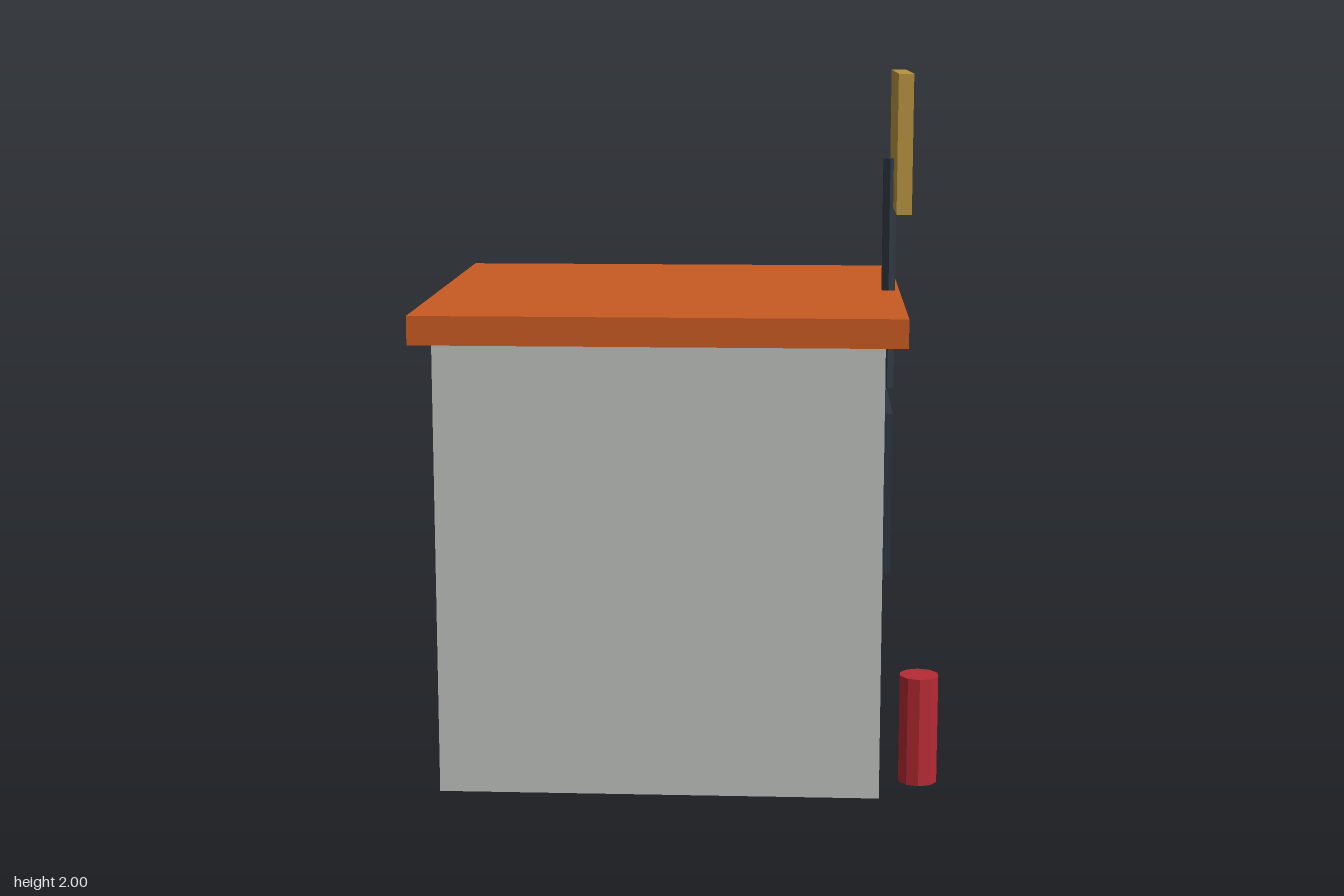
import * as THREE from 'three';

const mat = (name, color) => {
  const m = new THREE.MeshStandardMaterial({ color });
  m.name = name;
  return m;
};

export function createModel() {
  const group = new THREE.Group();
  group.name = 'kiosk';

  const wallGrey = mat('wall grey', 0xbdbfbc);
  const roofOrange = mat('roof orange', 0xc85a22);
  const darkSlate = mat('dark slate', 0x2c3540);
  const signGold = mat('sign gold', 0xb8943f);
  const red = mat('red', 0xb72a35);

  const add = (name, geometry, material, x, y, z) => {
    const mesh = new THREE.Mesh(geometry, material);
    mesh.name = name;
    mesh.position.set(x, y, z);
    group.add(mesh);
  };

  // Box given by its min and max extents
  const box = (name, material, [x0, x1], [y0, y1], [z0, z1]) =>
    add(name, new THREE.BoxGeometry(x1 - x0, y1 - y0, z1 - z0), material,
      (x0 + x1) / 2, (y0 + y1) / 2, (z0 + z1) / 2);

  // Faceted upright cylinder
  const prism = (name, material, r, sides, [y0, y1], x, z) =>
    add(name, new THREE.CylinderGeometry(r, r, y1 - y0, sides).toNonIndexed(), material,
      x, (y0 + y1) / 2, z);

  // Booth and overhanging roof slab
  box('booth', wallGrey, [-0.675, 0.562], [0, 1.285], [-0.563, 0.563]);
  box('roof', roofOrange, [-0.728, 0.62], [1.285, 1.365], [-0.645, 0.645]);

  // Serving window on the left side
  box('window', darkSlate, [0.555, 0.588], [0.622, 1.075], [-0.45, 0.45]);

  // Sign and its hexagonal post
  prism('signPost', darkSlate, 0.0225, 6, [1.075, 1.75], 0.588, 0);
  box('signBoard', signGold, [0.598, 0.641], [1.608, 2], [-0.253, 0.253]);

  // Canister beside the booth
  prism('canister', red, 0.056, 10, [0.017, 0.328], 0.674, 0.448);

  // Flat facets throughout
  group.traverse((o) => { if (o.isMesh) o.material.flatShading = true; });
  return group;
}
